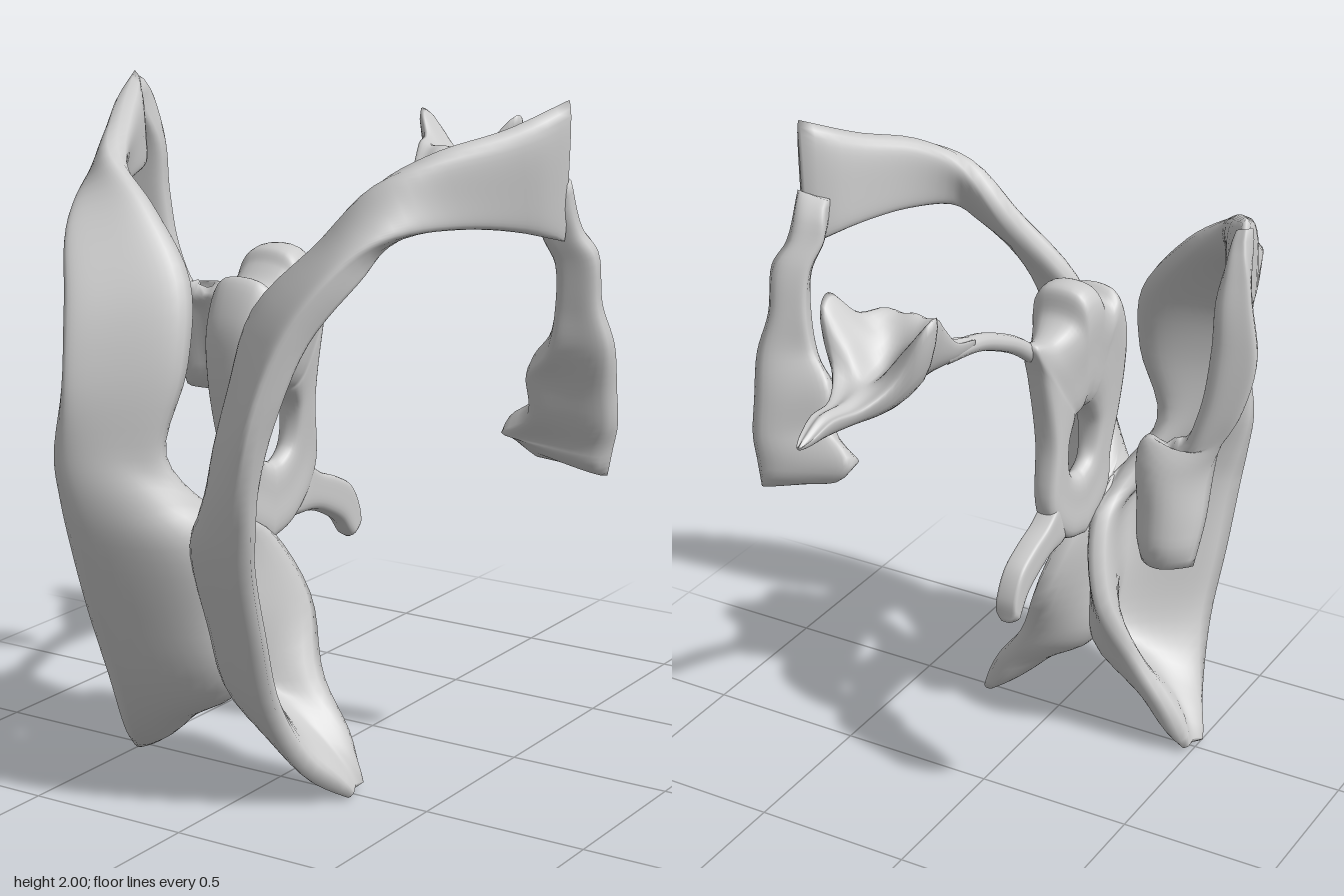
import * as THREE from 'three';

const material = new THREE.MeshStandardMaterial({ color: 0xcccccc });
const V = (p) => new THREE.Vector3(...p);
const curve = (pts) => new THREE.CatmullRomCurve3(pts);
const ramp = THREE.MathUtils.smoothstep;

function add(group, name, geometry) {
  const mesh = new THREE.Mesh(geometry, material);
  mesh.name = name;
  group.add(mesh);
}

// Skin a list of equal rings and turn faces outward; cap the ends unless they meet
function skin(rings) {
  const n = rings[0].length, pos = [], idx = [];
  const meets = rings[0][0].distanceTo(rings[rings.length - 1][0]) < 1e-5;
  const body = meets ? rings.slice(0, -1) : rings;
  const count = body.length * n;
  body.forEach((r) => r.forEach((p) => pos.push(p.x, p.y, p.z)));
  for (let i = 0; i < rings.length - 1; i++) {
    for (let j = 0; j < n; j++) {
      const a = i * n + j, b = i * n + (j + 1) % n;
      const c = (a + n) % count, d = (b + n) % count;
      idx.push(a, b, c, b, d, c);
    }
  }
  if (!meets) [0, rings.length - 1].forEach((row, end) => {
    const c = new THREE.Vector3();
    rings[row].forEach((p) => c.addScaledVector(p, 1 / n));
    const k = pos.length / 3;
    pos.push(c.x, c.y, c.z);
    for (let j = 0; j < n; j++) {
      const a = row * n + j, b = row * n + (j + 1) % n;
      if (end) idx.push(a, b, k); else idx.push(b, a, k);
    }
  });
  let volume = 0;
  const at = (i) => V(pos.slice(i * 3, i * 3 + 3));
  for (let i = 0; i < idx.length; i += 3) {
    volume += at(idx[i]).dot(at(idx[i + 1]).cross(at(idx[i + 2])));
  }
  if (volume < 0) idx.reverse();
  const g = new THREE.BufferGeometry();
  g.setAttribute('position', new THREE.Float32BufferAttribute(pos, 3));
  g.setIndex(idx);
  g.computeVertexNormals();
  return g;
}

// Smooth grid through rows of points: spline across, then along
function grid(rows, across, along, closed = false) {
  const sampled = rows.map((r) => {
    const c = curve(r.map(V));
    c.closed = closed;
    return Array.from({ length: across + (closed ? 0 : 1) }, (_, j) => c.getPoint(j / across));
  });
  const columns = sampled[0].map((_, j) => curve(sampled.map((r) => r[j])));
  return Array.from({ length: along + 1 }, (_, i) => columns.map((c) => c.getPoint(i / along)));
}

// Curved sheet with rounded rims and half thickness t
function slab(rows, t, across = 20, along = 60) {
  const g = grid(rows, across, along);
  const rings = g.map((row, i) => {
    const front = [], back = [];
    const endTaper = Math.sqrt(Math.min(1, 0.15 + Math.min(i, along - i) / 3));
    row.forEach((p, j) => {
      const du = g[Math.min(i + 1, along)][j].clone().sub(g[Math.max(i - 1, 0)][j]);
      const dv = row[Math.min(j + 1, across)].clone().sub(row[Math.max(j - 1, 0)]);
      const w = t * endTaper * Math.sqrt(1 - Math.pow(2 * j / across - 1, 4));
      const n = du.cross(dv).normalize().multiplyScalar(w);
      front.push(p.clone().add(n));
      back.unshift(p.clone().sub(n));
    });
    return front.concat(back.slice(1, -1));
  });
  return skin(rings);
}

export function createModel() {
  const model = new THREE.Group();
  model.name = 'model';

  // Lower half of a wing: front rim, central fold, rear flange
  const lower = [
    [[0.27, 0.01, 0.54], [0.25, 0.02, 0.5], [0.25, 0.02, 0.45]],
    [[0.21, 0.12, 0.67], [0.08, 0.19, 0.55], [0.2, 0.15, 0.43]],
    [[0.18, 0.32, 0.78], [-0.07, 0.3, 0.57], [0.1, 0.31, 0.42]],
    [[0.19, 0.55, 0.86], [-0.08, 0.52, 0.66], [0.01, 0.52, 0.35]],
    [[0.2, 0.77, 0.92], [-0.08, 0.75, 0.74], [-0.06, 0.74, 0.46]],
    [[0.21, 0.87, 0.935], [0.0, 0.86, 0.81], [-0.07, 0.82, 0.62]],
    [[0.22, 1.0, 0.945], [0.09, 1.0, 0.86], [-0.01, 1.0, 0.76]],
  ];
  const mirrored = lower.map((r) => r.map(([x, y, z]) => [-0.1 - (x + 0.1) * 1.1, y, z]));

  add(model, 'leftWing', slab([...lower,
    [[0.25, 1.2, 0.93], [0.025, 1.22, 0.73]],
    [[0.32, 1.41, 0.87], [0.055, 1.42, 0.67]],
    [[0.41, 1.56, 0.78], [0.25, 1.62, 0.63]],
    [[0.48, 1.65, 0.65], [0.41, 1.8, 0.61]],
    [[0.56, 1.67, 0.48], [0.53, 1.88, 0.52]],
    [[0.65, 1.65, 0.31], [0.65, 1.93, 0.36]],
    [[0.73, 1.61, 0.18], [0.755, 2.0, 0.2]],
  ], 0.046));
  add(model, 'rightWing', slab([...mirrored,
    [[-0.43, 1.2, 0.93], [-0.15, 1.25, 0.72]],
    [[-0.46, 1.42, 0.87], [-0.18, 1.48, 0.66]],
    [[-0.53, 1.59, 0.76], [-0.33, 1.67, 0.62]],
    [[-0.58, 1.68, 0.58], [-0.49, 1.8, 0.57]],
    [[-0.65, 1.7, 0.36], [-0.61, 1.9, 0.4]],
    [[-0.74, 1.71, 0.14], [-0.73, 1.99, 0.18]],
  ], 0.046));

  // Hanging hooks behind the wing tips
  add(model, 'leftHook', slab([
    [[0.66, 1.76, 0.21], [0.76, 1.78, 0.19]],
    [[0.66, 1.64, 0.18], [0.76, 1.64, 0.12]],
    [[0.68, 1.55, 0.13], [0.79, 1.57, 0.08]],
    [[0.67, 1.42, 0.1], [0.79, 1.42, 0.05]],
    [[0.64, 1.3, 0.09], [0.81, 1.3, 0.01]],
    [[0.56, 1.21, 0.06], [0.8, 1.16, -0.03]],
    [[0.55, 1.09, 0.03], [0.79, 1.05, -0.06]],
    [[0.45, 1.01, 0.0], [0.77, 0.97, -0.07]],
    [[0.55, 0.94, -0.01], [0.75, 0.89, -0.08]],
  ], 0.047, 14, 40));
  add(model, 'rightHook', slab([
    [[-0.75, 1.97, 0.16], [-0.71, 1.95, 0.17]],
    [[-0.78, 1.78, 0.13], [-0.69, 1.78, 0.09]],
    [[-0.81, 1.6, 0.12], [-0.69, 1.62, 0.07]],
    [[-0.78, 1.45, 0.1], [-0.67, 1.44, 0.05]],
    [[-0.73, 1.34, 0.08], [-0.62, 1.32, 0.03]],
    [[-0.72, 1.25, 0.06], [-0.6, 1.26, 0.0], [-0.51, 1.33, 0.05]],
    [[-0.72, 1.12, 0.02], [-0.61, 1.12, -0.04], [-0.52, 1.15, 0.02]],
    [[-0.71, 0.99, -0.03], [-0.62, 0.98, -0.07], [-0.55, 0.98, -0.04]],
  ], 0.043, 14, 40));

  // Central plate: a ring of cross-sections around a window, outline as (z, y)
  const outline = [
    [0.46, 0.7], [0.34, 0.74], [0.23, 0.87], [0.25, 1.1], [0.22, 1.33], [0.19, 1.44], [0.27, 1.43],
    [0.35, 1.47], [0.38, 1.55], [0.46, 1.55], [0.49, 1.51], [0.55, 1.465], [0.6, 1.49], [0.66, 1.38],
    [0.67, 1.24], [0.65, 1.08], [0.61, 0.93], [0.6, 0.8], [0.46, 0.7],
  ];
  const sections = outline.map(([z, y]) => {
    const angle = Math.atan2(y - 1.035, z - 0.43);
    const inner = [0.43 + 0.092 * Math.cos(angle), 1.035 + 0.107 * Math.sin(angle)];
    // Point at fraction f from window to outline, offset sideways; thicker toward the upper front
    const point = (f, side) => {
      const pz = inner[0] + (z - inner[0]) * f, py = inner[1] + (y - inner[1]) * f;
      const half = 0.036 + 0.062 * ramp(py, 0.85, 1.5) * ramp(pz, 0.2, 0.42);
      return [side * half - 0.08 + 0.03 * ramp(py, 0.85, 1.5), py, pz];
    };
    return [point(0, 0), point(0.1, 0.8), point(0.5, 1), point(0.88, 1), point(1, 0.55),
      point(1, -0.55), point(0.88, -1), point(0.5, -1), point(0.1, -0.8)];
  });
  add(model, 'centralPlate', skin(grid(sections, 36, 110, true)));

  // Curved arm at the lower back of the plate, as [upper y, z, lower y, z]
  const arm = [
    [0.92, 0.29, 0.73, 0.36], [0.85, 0.2, 0.73, 0.22], [0.815, 0.11, 0.7, 0.14],
    [0.77, 0.03, 0.66, 0.075], [0.69, -0.015, 0.62, 0.04], [0.615, -0.02, 0.6, 0.015],
  ];
  add(model, 'rearArm', slab(arm.map(([y1, z1, y2, z2]) => [[-0.085, y1, z1], [-0.085, y2, z2]]), 0.036, 14, 30));

  // Thin stalk running back from the plate
  const stalk = curve([[-0.04, 1.38, 0.25], [-0.03, 1.46, 0.14], [-0.025, 1.515, 0.03],
    [-0.02, 1.555, -0.08], [-0.005, 1.573, -0.24]].map(V));
  add(model, 'stalk', new THREE.TubeGeometry(stalk, 24, 0.027, 12));

  // Horned cup and tail: [z, half width, rim y, middle y, bottom y]
  const cup = [
    [-0.12, 0.022, 1.585, 1.59, 1.54], [-0.22, 0.035, 1.615, 1.62, 1.545], [-0.3, 0.055, 1.69, 1.7, 1.545],
    [-0.38, 0.085, 1.755, 1.755, 1.545], [-0.47, 0.12, 1.77, 1.69, 1.545], [-0.53, 0.17, 1.84, 1.65, 1.545],
    [-0.58, 0.165, 1.82, 1.64, 1.54], [-0.63, 0.1, 1.67, 1.64, 1.545], [-0.72, 0.055, 1.62, 1.63, 1.56],
    [-0.84, 0.035, 1.63, 1.64, 1.575], [-0.92, 0.02, 1.605, 1.61, 1.58], [-0.95, 0.008, 1.595, 1.597, 1.585],
  ];
  const rings = cup.map(([z, w, rim, mid, low]) => {
    const c = 0.01 - 0.03 * ramp(z, -0.35, -0.12), side = (rim + low * 2) / 3;
    return [[c - w, rim, z], [c - w * 0.5, (rim + mid) / 2 - 0.005, z], [c, mid, z],
      [c + w * 0.5, (rim + mid) / 2 - 0.005, z], [c + w, rim, z], [c + w * 0.75, side, z],
      [c, low, z], [c - w * 0.75, side, z]];
  });
  add(model, 'hornedCup', skin(grid(rings, 32, 48, true)));

  return model;
}
